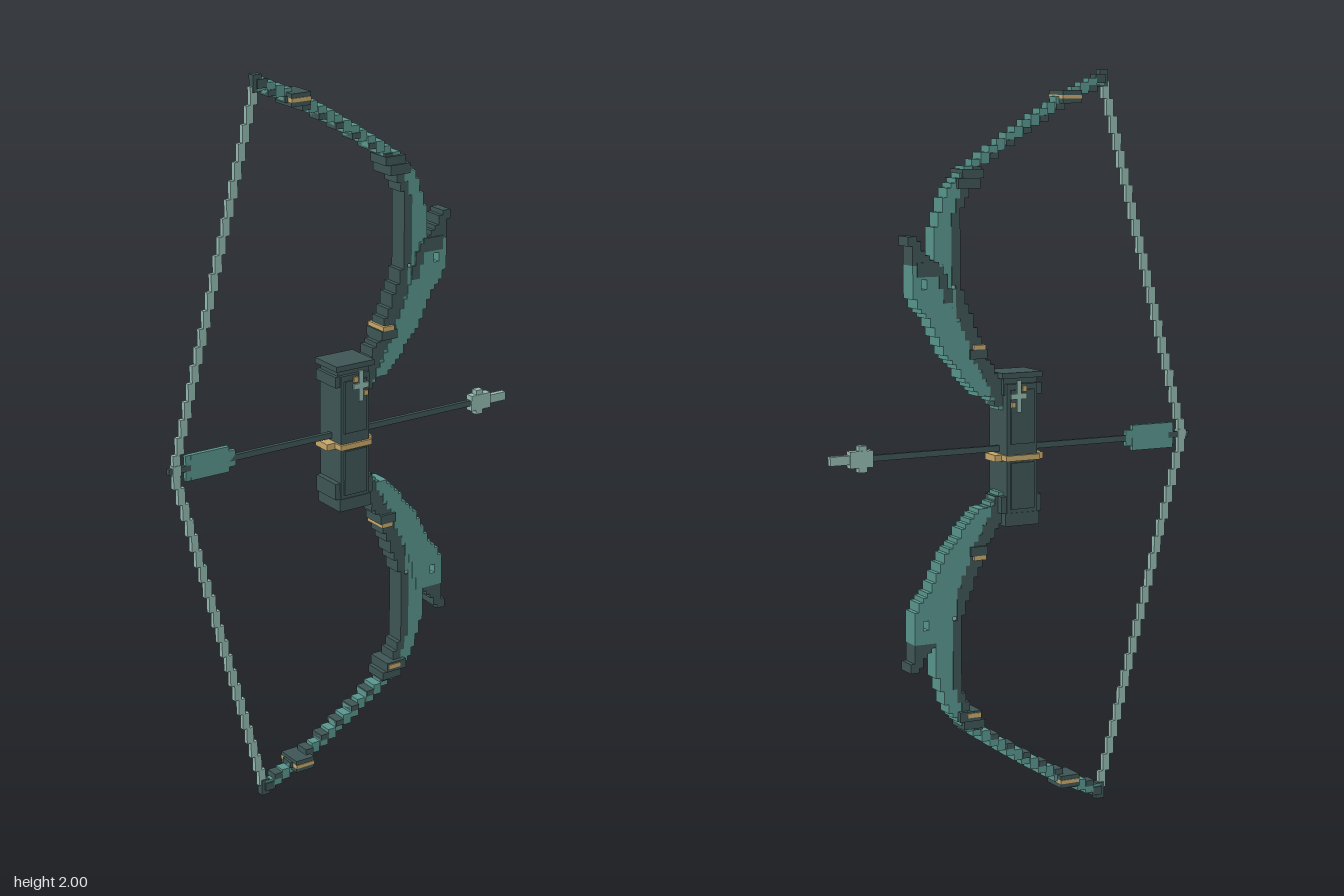
import * as THREE from 'three';
import { mergeGeometries } from 'three/addons/utils/BufferGeometryUtils.js';

const material = (name, color) => {
  const m = new THREE.MeshStandardMaterial({ color });
  m.name = name;
  return m;
};
const U = 0.0125; // block size
const snap = v => Math.round(v / U) * U;

export function createModel() {
  const bow = new THREE.Group();
  bow.name = 'bowAndArrow';
  const teal = material('teal', 0x5a968e);
  const dark = material('darkSlate', 0x3f5555);
  const pale = material('paleTeal', 0x94b9b0);
  const gold = material('gold', 0xc9a96c);

  // block given by its x and y limits and half depth
  const block = (x0, x1, y0, y1, hz) =>
    new THREE.BoxGeometry(x1 - x0, y1 - y0, hz * 2).translate((x0 + x1) / 2, (y0 + y1) / 2, 0);
  const add = (parent, name, mat, geos) => {
    const mesh = new THREE.Mesh(mergeGeometries(geos), mat);
    mesh.name = name;
    parent.add(mesh);
  };
  // piecewise linear lookup in [key, a, b] rows
  const lookup = (pts, k, col) => {
    let i = 0;
    while (i < pts.length - 2 && k > pts[i + 1][0]) i++;
    const p = pts[i], q = pts[i + 1];
    return THREE.MathUtils.lerp(p[col], q[col], (k - p[0]) / (q[0] - p[0]));
  };
  // horizontal slabs stacked upward, with an optional square hole
  const slabs = (pts, hz, hole) => {
    const out = [], end = pts[pts.length - 1][0];
    for (let y = pts[0][0]; y < end - 0.001; y += U) {
      const mid = Math.min(y + U / 2, end);
      const a = snap(lookup(pts, mid, 1));
      const b = Math.max(snap(lookup(pts, mid, 2)), a + U);
      if (hole && Math.abs(mid - hole[1]) < U * 0.8) {
        out.push(block(a, hole[0] - 0.008, y, y + U, hz), block(hole[0] + 0.008, b, y, y + U, hz));
      } else out.push(block(a, b, y, y + U, hz));
    }
    return out;
  };

  // one limb, with y measured upward from the arrow line
  function makeLimb(name, upper) {
    const limb = new THREE.Group();
    limb.name = name;
    const flip = geos => {
      for (const g of geos) {
        const b = g.boundingBox ?? (g.computeBoundingBox(), g.boundingBox);
        const c = (b.min.y + b.max.y) / 2;
        g.translate(0, upper ? 1 : 1 - 2 * c, 0);
      }
      return geos;
    };
    const part = (n, m, geos) => add(limb, n, m, flip(geos));

    // curved inner limb: dark spine, pale inlay, teal outer layer
    part('limbSpine', dark, slabs([[0.12, 0.03, 0.07], [0.2, 0.06, 0.11], [0.26, 0.1, 0.145],
      [0.37, 0.145, 0.185], [0.45, 0.178, 0.195], [0.63, 0.178, 0.195], [0.7, 0.14, 0.17]], 0.028));
    part('limbInlay', pale, slabs([[0.4, 0.186, 0.196], [0.46, 0.195, 0.208], [0.62, 0.195, 0.208]], 0.022));
    part('limbOuter', teal, slabs([[0.11, 0.04, 0.06], [0.17, 0.06, 0.12], [0.25, 0.12, 0.16],
      [0.32, 0.155, 0.2], [0.42, 0.19, 0.23], [0.5, 0.206, 0.245], [0.6, 0.206, 0.245],
      [0.68, 0.17, 0.215], [0.73, 0.13, 0.18]], 0.026));

    // slender outer limb, stepped along x
    const curve = [[-0.26, 0.978, 0.014], [-0.15, 0.93, 0.018], [-0.03, 0.858, 0.02],
      [0.06, 0.8, 0.022], [0.14, 0.745, 0.026]];
    const outer = [], edge = [];
    let i = 0;
    for (let x = -0.2625; x < 0.14; x += 2 * U, i++) {
      const y = lookup(curve, x + U, 1), hz = lookup(curve, x + U, 2);
      outer.push(block(x, x + 2 * U, y - 0.015, y + 0.015, hz * (i % 3 ? 1 : 0.75)));
      if (i % 2) edge.push(block(x, x + 2 * U, y - 0.02, y - 0.004, hz + 0.003));
    }
    part('limbOuterArm', teal, outer);
    part('limbArmEdge', dark, edge);

    // swept blade with a small hole
    part('limbBlade', teal, slabs([[0.15, 0.08, 0.12], [0.2, 0.11, 0.165], [0.28, 0.15, 0.23],
      [0.35, 0.18, 0.26], [0.4, 0.2, 0.3], [0.43, 0.21, 0.312], [0.5, 0.23, 0.312]],
    0.029, [0.28, 0.45]));
    part('bladeTip', dark, slabs([[0.5, 0.24, 0.31], [0.53, 0.275, 0.315], [0.575, 0.306, 0.325]], 0.028));
    if (upper) {
      part('bladeBand', dark, slabs([[0.47, 0.215, 0.295], [0.5, 0.24, 0.3]], 0.031));
      part('bladeFoot', dark, slabs([[0.4, 0.195, 0.22], [0.47, 0.215, 0.24]], 0.031));
    }

    // clamps
    part('middleClamp', dark, [block(0.122, 0.185, 0.695, 0.722, 0.04),
      block(0.11, 0.172, 0.722, 0.745, 0.036)]);
    if (!upper) part('middleClampTrim', gold, [block(0.125, 0.165, 0.7, 0.712, 0.043)]);
    part('rootClamp', dark, [block(0.1, 0.15, 0.25, 0.275, 0.036)]);
    part('rootClampTrim', gold, [block(0.105, 0.14, 0.275, 0.287, 0.036)]);
    part('endClamp', dark, [block(-0.18, -0.122, 0.912, 0.924, 0.038),
      block(-0.18, -0.122, 0.934, 0.946, 0.038)]);
    part('endClampTrim', gold, [block(-0.18, -0.122, 0.924, 0.934, 0.04)]);

    // string nock at the limb tip
    part('limbTip', dark, [block(-0.275, -0.25, 0.955, 1, 0.01),
      block(-0.265, -0.235, 0.965, 0.988, 0.015)]);

    // stepped half of the string
    const string = [], n = 21;
    for (let k = 0; k < n; k++) {
      const x = THREE.MathUtils.lerp(-0.523, -0.265, (k + 0.5) / n);
      string.push(block(x - 0.0105, x + 0.0105, (k / n) * 0.97, ((k + 1) / n) * 0.97, 0.007));
    }
    part('bowString', pale, string);
    bow.add(limb);
  }
  makeLimb('upperLimb', true);
  makeLimb('lowerLimb', false);

  // grip
  const grip = new THREE.Group();
  grip.name = 'grip';
  bow.add(grip);
  add(grip, 'gripCore', dark, [block(-0.04, 0.05, 0.82, 1.18, 0.05)]);
  add(grip, 'gripPanels', dark, [block(-0.03, 0.04, 0.845, 0.97, 0.055), block(-0.03, 0.04, 1.02, 1.165, 0.055)]);
  add(grip, 'gripCaps', dark, [block(-0.055, 0.065, 1.195, 1.21, 0.052), block(-0.045, 0.055, 1.15, 1.195, 0.04),
    block(-0.055, 0.035, 1.15, 1.18, 0.046), block(-0.055, 0.065, 0.835, 0.88, 0.046),
    block(-0.045, 0.055, 0.8, 0.835, 0.052)]);
  add(grip, 'gripBand', gold, [block(-0.07, 0.075, 0.972, 0.99, 0.028), block(-0.045, 0.055, 0.975, 0.99, 0.057)]);

  // small cross ornament on both faces of the grip
  const ornament = (x0, x1, y0, y1) => [1, -1].map(s => block(x0, x1, y0, y1, 0.003).translate(0, 0, s * 0.057));
  add(grip, 'ornamentCross', pale, [...ornament(0.012, 0.024, 1.105, 1.19), ...ornament(-0.005, 0.042, 1.14, 1.155)]);
  add(grip, 'ornamentTrim', gold, [...ornament(-0.005, 0.008, 1.16, 1.175), ...ornament(0.028, 0.04, 1.118, 1.132)]);

  // arrow
  const arrow = new THREE.Group();
  arrow.name = 'arrow';
  arrow.position.y = 1.004;
  bow.add(arrow);
  add(arrow, 'arrowShaft', dark, [block(-0.54, 0.43, -0.008, 0.008, 0.006)]);
  add(arrow, 'arrowFletching', teal, [block(-0.49, -0.385, 0.008, 0.035, 0.006),
    block(-0.475, -0.36, -0.035, 0.035, 0.0065), block(-0.49, -0.385, -0.035, -0.008, 0.006),
    block(-0.36, -0.34, -0.022, 0.022, 0.006)]);
  add(arrow, 'arrowNock', pale, [block(-0.53, -0.505, -0.014, 0.014, 0.009)]);
  add(arrow, 'arrowHead', pale, [block(0.42, 0.485, -0.022, 0.022, 0.012),
    block(0.437, 0.46, -0.035, 0.035, 0.01), block(0.485, 0.54, -0.012, 0.012, 0.008)]);

  return bow;
}
